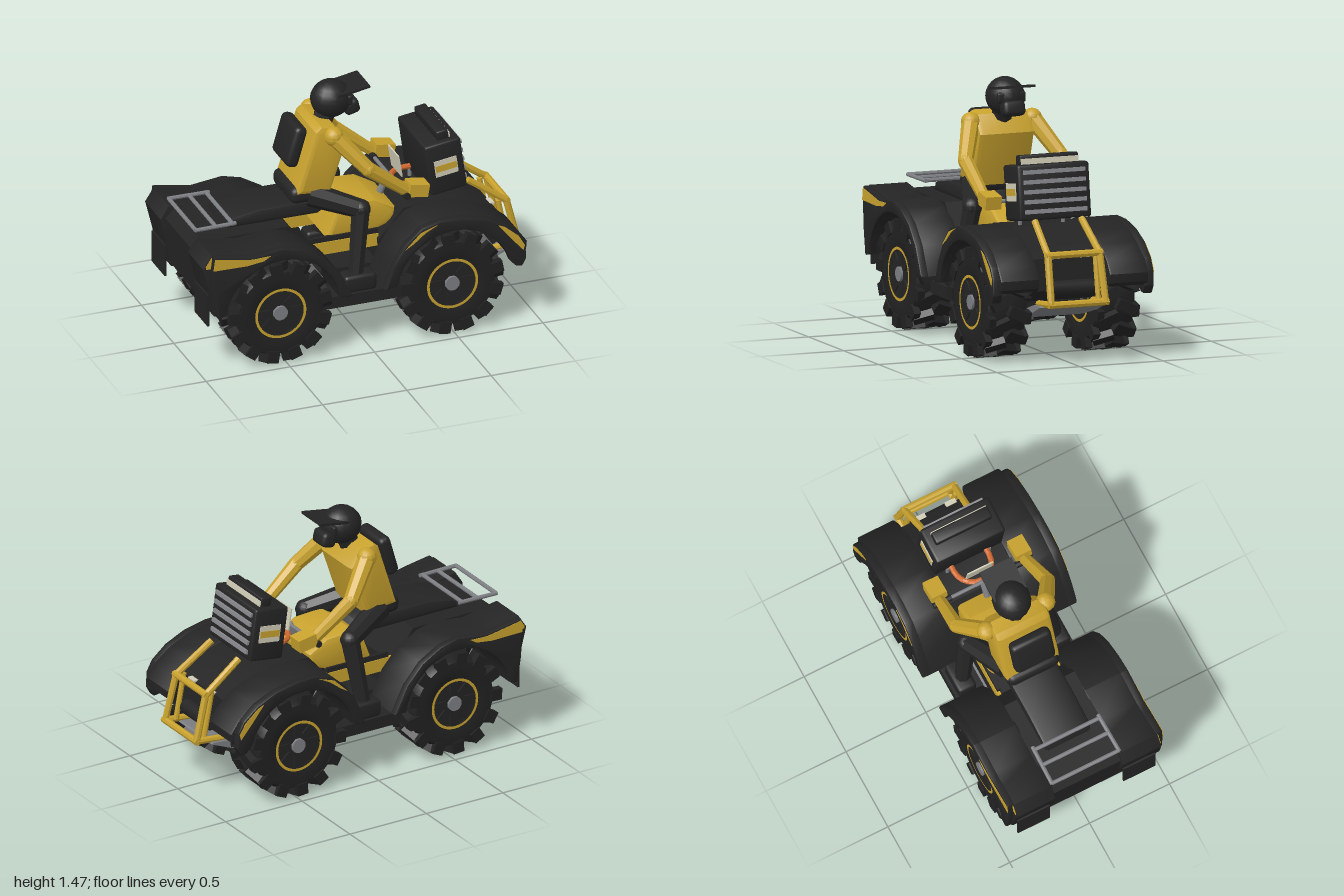
import * as THREE from 'three';
import { mergeGeometries, toCreasedNormals } from 'three/addons/utils/BufferGeometryUtils.js';
import { RoundedBoxGeometry } from 'three/addons/geometries/RoundedBoxGeometry.js';

const paint = (name, color) => { const m = new THREE.MeshStandardMaterial({ color }); m.name = name; return m; };
const V = (a) => new THREE.Vector3(...a);

export function createModel() {
  const black = paint('black plastic', 0x242424), rubber = paint('tyre rubber', 0x212121);
  const gold = paint('gold paint', 0xc8a22e), grey = paint('grey metal', 0x7c7e82);
  const silver = paint('silver slats', 0x88898d), cream = paint('cream', 0xd0ccb6), orange = paint('orange', 0xcf682e);
  const model = new THREE.Group();
  model.name = 'quadBikeWithRider';

  const add = (name, geo, mat, parent = model) => {
    const m = new THREE.Mesh(toCreasedNormals(geo, 0.5), mat);
    m.name = name;
    parent.add(m);
    return m;
  };
  const box = (name, size, pos, mat, parent, round = 0) => {
    const g = round ? new RoundedBoxGeometry(...size, 2, round) : new THREE.BoxGeometry(...size);
    const m = add(name, g, mat, parent);
    m.position.set(...pos);
    return m;
  };
  // Straight tapered bar between two points
  const rod = (name, a, b, r, mat, r2 = r, sides = 8) => {
    const d = V(b).sub(V(a));
    const m = add(name, new THREE.CylinderGeometry(r2, r, d.length(), sides), mat);
    m.position.copy(V(a)).addScaledVector(d, 0.5);
    m.quaternion.setFromUnitVectors(new THREE.Vector3(0, 1, 0), d.normalize());
    return m;
  };
  const ball = (name, p, r, mat, w = 12) => {
    const m = add(name, new THREE.SphereGeometry(r, w, Math.ceil(w * 0.7)), mat);
    m.position.set(...p);
    return m;
  };
  // Bent pipe with rounded joints
  const pipe = (name, pts, r, mat) => pts.forEach((p, i) => {
    if (i) rod(name, pts[i - 1], p, r, mat);
    if (i && i < pts.length - 1) ball(name + 'Joint', p, r, mat, 8);
  });
  // Side profile extruded across z0..z1
  const slab = (name, pts, z0, z1, mat, bevel = 0) => {
    const shape = new THREE.Shape(pts.map((p) => new THREE.Vector2(...p)));
    const g = new THREE.ExtrudeGeometry(shape, {
      depth: z1 - z0 - 2 * bevel, bevelEnabled: bevel > 0, bevelThickness: bevel,
      bevelSize: bevel, bevelOffset: -bevel, bevelSegments: 2 });
    return add(name, g.translate(0, 0, z0 + bevel), mat);
  };
  // The same on side s, from inner to outer distance
  const sideSlab = (name, pts, s, inner, outer, mat, bevel) =>
    slab(name, pts, s > 0 ? inner : -outer, s > 0 ? outer : -inner, mat, bevel);

  // Wheels with chunky alternating tread blocks
  const tyreProfile = [[0.12, -0.1], [0.16, -0.112], [0.21, -0.12], [0.25, -0.115], [0.268, -0.08], [0.272, 0],
    [0.268, 0.08], [0.25, 0.115], [0.21, 0.12], [0.16, 0.112], [0.12, 0.1]].map((p) => new THREE.Vector2(...p));
  const tyre = new THREE.LatheGeometry(tyreProfile, 36).rotateX(Math.PI / 2);
  const knobs = [];
  for (let i = 0; i < 13; i++) for (const s of [1, -1]) {
    const a = (i + (s > 0 ? 0 : 0.5)) / 13 * Math.PI * 2;
    knobs.push(new THREE.BoxGeometry(0.06, 0.055, 0.12).rotateY(s * 0.42).translate(0, 0.281, s * 0.05).rotateZ(a));
    knobs.push(new THREE.BoxGeometry(0.068, 0.07, 0.04).translate(0, 0.27, s * 0.105).rotateZ(a + s * 0.08));
  }
  const tread = mergeGeometries(knobs);
  for (const x of [-0.535, 0.485]) {
    for (const s of [1, -1]) {
      const wheel = new THREE.Group();
      wheel.name = (x > 0 ? 'front' : 'rear') + 'Wheel';
      wheel.position.set(x, 0.32, s * 0.325);
      model.add(wheel);
      add('tyre', tyre, rubber, wheel);
      add('tread', tread, rubber, wheel);
      add('rim', new THREE.CylinderGeometry(0.145, 0.145, 0.205, 32).rotateX(Math.PI / 2), black, wheel);
      for (const f of [1, -1]) {
        add('rimRing', new THREE.RingGeometry(0.136, 0.152, 40).rotateY(f > 0 ? 0 : Math.PI), gold, wheel).position.z = f * 0.119;
        add('hub', new THREE.CylinderGeometry(0.042, 0.042, 0.02, 16).rotateX(Math.PI / 2), grey, wheel).position.z = f * 0.112;
        for (let i = 0; i < 8; i++) {
          const spoke = new THREE.BoxGeometry(0.05, 0.09, 0.008).translate(0, 0.088, f * 0.106).rotateZ(i * Math.PI / 4);
          add('spoke', spoke, black, wheel);
        }
      }
    }
    rod('axle', [x, 0.32, -0.25], [x, 0.32, 0.25], 0.035, black);
  }

  // Fenders: a main shell and a slightly shorter outer flare on each
  const arch = (cx, from, to) => Array.from({ length: 15 }, (_, i) => {
    const a = THREE.MathUtils.degToRad(from + (to - from) * i / 14);
    return [cx + 0.345 * Math.cos(a), 0.32 + 0.345 * Math.sin(a)];
  });
  const rearTop = [[-0.12, 0.37], [-0.2, 0.53], [-0.3, 0.64], [-0.42, 0.71], [-0.53, 0.738], [-0.72, 0.715], [-0.82, 0.735]];
  const rearArch = arch(-0.535, 170, 8);
  const rearShell = [...rearTop, [-0.95, 0.757], [-1, 0.68], [-0.96, 0.52], [-0.93, 0.37], ...rearArch];
  const rearFlare = [...rearTop, [-0.945, 0.755], [-0.955, 0.67], [-0.945, 0.52], [-0.92, 0.37], ...rearArch];
  const frontTop = [[0.07, 0.37], [0.12, 0.5], [0.2, 0.63], [0.29, 0.71], [0.4, 0.738], [0.52, 0.735], [0.66, 0.705], [0.78, 0.65]];
  const frontShell = [...frontTop, [0.88, 0.57], [0.93, 0.5], [0.925, 0.45], [0.9, 0.428], [0.84, 0.43], ...arch(0.485, 24, 170)];
  const frontFlare = [...frontTop, [0.87, 0.575], [0.905, 0.51], [0.91, 0.42], [0.885, 0.375], [0.85, 0.38], ...arch(0.485, 16, 170)];
  const flashes = {
    rearFlash: [[-0.95, 0.675], [-0.94, 0.745], [-0.82, 0.724], [-0.72, 0.706], [-0.61, 0.71], [-0.65, 0.685], [-0.75, 0.672]],
    frontFlash: [[0.74, 0.655], [0.78, 0.638], [0.862, 0.568], [0.898, 0.505], [0.89, 0.475], [0.82, 0.555]],
    frontRearFlash: [[0.19, 0.6], [0.28, 0.688], [0.38, 0.722], [0.31, 0.685], [0.24, 0.63]],
  };
  for (const s of [1, -1]) {
    sideSlab('rearFender', rearShell, s, 0.21, 0.452, black, 0.01);
    sideSlab('rearFlare', rearFlare, s, 0.43, 0.485, black, 0.01);
    sideSlab('frontFender', frontShell, s, 0.21, 0.445, black, 0.012);
    sideSlab('frontFlare', frontFlare, s, 0.425, 0.485, black, 0.01);
    for (const [name, pts] of Object.entries(flashes)) sideSlab(name, pts, s, 0.48, 0.488, gold);
    sideSlab('tailFlash', [[-0.984, 0.69], [-0.95, 0.742], [-0.94, 0.742], [-0.94, 0.675], [-0.983, 0.675]], s, 0.447, 0.455, gold);
    box('mudFlap', [0.012, 0.19, 0.2], [-0.96, 0.405, s * 0.33], black);
    // Footboards and middle side panels
    box('footboard', [0.5, 0.07, 0.17], [-0.03, 0.285, s * 0.28], black);
    box('sidePanel', [0.42, 0.075, 0.02], [-0.07, 0.54, s * 0.185], gold);
    box('sidePanelTrim', [0.4, 0.03, 0.02], [-0.06, 0.592, s * 0.18], black);
  }

  // Body, seat and underside
  slab('rearBody', [[-0.94, 0.4], [-0.97, 0.68], [-0.92, 0.73], [-0.4, 0.73], [-0.27, 0.55], [-0.25, 0.35], [-0.8, 0.35]], -0.22, 0.22, black);
  slab('frontBody', [[0.15, 0.35], [0.13, 0.55], [0.28, 0.72], [0.5, 0.73], [0.66, 0.7], [0.84, 0.6], [0.85, 0.42], [0.7, 0.34]], -0.22, 0.22, black);
  box('frame', [1.3, 0.14, 0.34], [-0.05, 0.32, 0], black);
  slab('seat', [[-0.75, 0.74], [-0.73, 0.79], [-0.55, 0.82], [-0.2, 0.82], [-0.14, 0.77], [-0.2, 0.735]], -0.145, 0.145, black, 0.02);
  slab('tank', [[-0.16, 0.59], [-0.1, 0.75], [-0.04, 0.79], [0.13, 0.78], [0.25, 0.71], [0.24, 0.63], [0.13, 0.59]], -0.18, 0.18, gold, 0.025);
  slab('skidPlate', [[-0.62, 0.225], [0.56, 0.225], [0.78, 0.285], [0.9, 0.335], [0.89, 0.342], [0.8, 0.335], [0.55, 0.25], [-0.62, 0.25]], -0.2, 0.2, grey);
  rod('winch', [0.86, 0.43, -0.13], [0.86, 0.43, 0.13], 0.045, black, 0.045, 14);
  for (const s of [1, -1]) box('headlamp', [0.03, 0.012, 0.065], [0.84, 0.602, s * 0.095], cream);

  // Rear rack
  for (const s of [1, -1]) rod('rackRail', [-0.71, 0.8, s * 0.205], [-0.955, 0.8, s * 0.21], 0.012, grey);
  for (const x of [-0.95, -0.83, -0.73]) rod('rackBar', [x, 0.8, -0.21], [x, 0.8, 0.21], 0.012, grey);

  // Front bumper
  for (const s of [1, -1]) {
    pipe('bumperRail', [[0.69, 0.785, s * 0.14], [0.915, 0.625, s * 0.155], [0.98, 0.36, s * 0.163], [0.8, 0.342, s * 0.163]], 0.02, gold);
    rod('bumperBrace', [0.87, 0.63, s * 0.145], [0.92, 0.36, s * 0.145], 0.016, gold);
  }
  for (const [x, y, z] of [[0.915, 0.628, 0.17], [0.98, 0.36, 0.18]]) rod('bumperBar', [x, y, -z], [x, y, z], 0.02, gold);

  // Slatted front case, leaning back
  const frontCase = new THREE.Group();
  frontCase.name = 'frontCase';
  frontCase.position.set(0.535, 0.925, 0);
  frontCase.rotation.z = 0.14;
  model.add(frontCase);
  box('case', [0.215, 0.31, 0.43], [0, 0, 0], black, frontCase, 0.015);
  for (let i = 0; i < 5; i++) box('slat', [0.022, 0.023, 0.37], [0.11, -0.107 + i * 0.055, 0], silver, frontCase);
  box('topBar', [0.07, 0.06, 0.35], [0.02, 0.178, 0], black, frontCase, 0.01);
  box('topBarStrip', [0.008, 0.032, 0.345], [0.058, 0.172, 0], cream, frontCase);
  for (const s of [1, -1]) {
    box('sidePlate', [0.135, 0.1, 0.008], [0, 0.005, s * 0.215], cream, frontCase);
    box('sidePlateStripe', [0.125, 0.038, 0.008], [0, 0.005, s * 0.218], gold, frontCase);
    rod('caseStay', [0.45, 0.72, s * 0.13], [0.45, 0.79, s * 0.13], 0.012, grey);
  }

  // Steering
  rod('steeringColumn', [0.21, 0.7, 0], [0.27, 0.84, 0], 0.02, grey);
  rod('handlebar', [0.27, 0.835, -0.24], [0.27, 0.835, 0.24], 0.011, grey);
  const hoop = Array.from({ length: 11 }, (_, i) => {
    const a = Math.PI * (0.5 + i / 10);
    return [0.41 + 0.115 * Math.cos(a), 0.797, 0.11 * Math.sin(a)];
  });
  pipe('orangeHoop', [[0.45, 0.797, 0.11], ...hoop, [0.45, 0.797, -0.11]], 0.016, orange);
  box('screen', [0.008, 0.13, 0.16], [0.315, 0.905, 0], cream).rotation.z = 0.16;

  // Rider
  slab('torso', [[-0.335, 0.88], [-0.22, 1.25], [-0.185, 1.28], [-0.1, 1.265], [-0.03, 1.16], [-0.13, 0.86]], -0.17, 0.17, gold, 0.03);
  box('backpack', [0.075, 0.245, 0.25], [-0.312, 1.15, 0], black, model, 0.03).rotation.z = -0.28;
  box('hips', [0.2, 0.1, 0.32], [-0.26, 0.865, 0], black, model, 0.04);
  rod('neck', [-0.12, 1.24, 0], [-0.09, 1.31, 0], 0.06, black);
  ball('helmet', [-0.068, 1.366, 0], 0.109, black, 16).scale.x = 1.07;
  box('chinGuard', [0.09, 0.085, 0.13], [0.04, 1.31, 0], black, model, 0.025).rotation.z = 0.25;
  box('goggles', [0.03, 0.06, 0.17], [0.018, 1.37, 0], black, model, 0.012);
  box('peak', [0.19, 0.014, 0.2], [0.035, 1.43, 0], black).rotation.z = 0.17;
  for (const s of [1, -1]) {
    const shoulder = [-0.12, 1.222, s * 0.185], elbow = [0.045, 1.035, s * 0.285], wrist = [0.28, 0.85, s * 0.265];
    ball('shoulder', shoulder, 0.056, gold);
    rod('upperArm', shoulder, elbow, 0.052, gold, 0.043);
    ball('elbow', elbow, 0.043, gold);
    rod('forearm', elbow, wrist, 0.043, gold, 0.034);
    box('hand', [0.115, 0.075, 0.095], [0.34, 0.858, s * 0.264], gold).rotation.z = -0.17;
    rod('grip', [0.27, 0.835, s * 0.2], [0.27, 0.835, s * 0.312], 0.02, black);
    const knee = [0.02, 0.77, s * 0.235];
    rod('thigh', [-0.24, 0.855, s * 0.12], knee, 0.07, black, 0.055);
    ball('knee', knee, 0.056, black);
    rod('shin', knee, [-0.03, 0.4, s * 0.285], 0.055, black, 0.045);
    box('boot', [0.19, 0.1, 0.11], [-0.02, 0.365, s * 0.295], black, model, 0.02);
  }
  return model;
}
